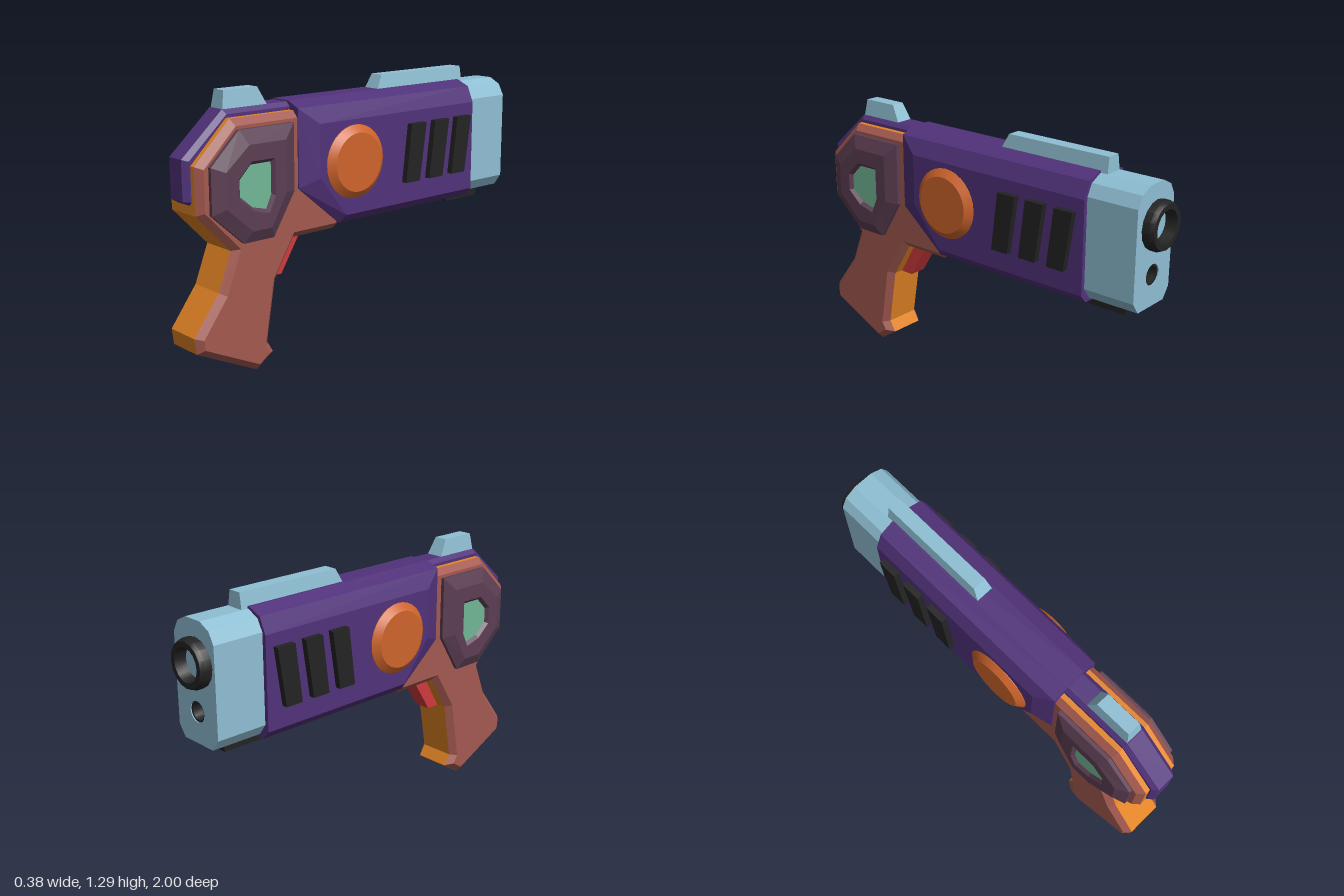
import * as THREE from 'three';
import { toCreasedNormals } from 'three/addons/utils/BufferGeometryUtils.js';

const mat = (name, color) => {
  const m = new THREE.MeshStandardMaterial({ color });
  m.name = name;
  return m;
};

// Joins outlines of [z, y] points placed at rising x; flat faces, fan caps.
function loft(layers, caps = true) {
  const area = layers[0][1].reduce((s, p, i, a) => {
    const q = a[(i + 1) % a.length];
    return s + p[0] * q[1] - q[0] * p[1];
  }, 0);
  const rings = layers.map(([x, pts]) => {
    const r = pts.map(([z, y]) => [x, y, z]);
    return area > 0 ? r.reverse() : r;
  });
  const v = [];
  const tri = (a, b, c) => v.push(...a, ...b, ...c);
  const n = rings[0].length;
  for (let k = 0; k < rings.length - 1; k++) {
    for (let i = 0; i < n; i++) {
      const j = (i + 1) % n, a = rings[k], b = rings[k + 1];
      tri(a[i], a[j], b[j]);
      tri(a[i], b[j], b[i]);
    }
  }
  if (caps) {
    const s = rings[0], e = rings[rings.length - 1];
    for (let i = 1; i < n - 1; i++) {
      tri(e[0], e[i], e[i + 1]);
      tri(s[0], s[i + 1], s[i]);
    }
  }
  const g = new THREE.BufferGeometry();
  g.setAttribute('position', new THREE.Float32BufferAttribute(v, 3));
  g.computeVertexNormals();
  return g;
}

// Mirrors layers listed from the middle outwards.
const symLoft = (half, caps) =>
  loft([...half.map(([x, p]) => [-x, p]).reverse(), ...half], caps);

// Keeps the triangles of an unindexed geometry that pass a test on their normal.
function pick(geo, test) {
  const p = geo.attributes.position, nor = geo.attributes.normal, v = [];
  for (let i = 0; i < p.count; i += 3) {
    if (!test(nor.getX(i))) continue;
    for (let k = i; k < i + 3; k++) v.push(p.getX(k), p.getY(k), p.getZ(k));
  }
  const g = new THREE.BufferGeometry();
  g.setAttribute('position', new THREE.Float32BufferAttribute(v, 3));
  g.computeVertexNormals();
  return g;
}

const lathe = (pts, n) =>
  toCreasedNormals(new THREE.LatheGeometry(pts.map(([r, y]) => new THREE.Vector2(r, y)), n), 0.5);

export function createModel() {
  const model = new THREE.Group();
  const purple = mat('purple shell', 0x51327a);
  const orange = mat('orange frame edge', 0xe28424);
  const brown = mat('red brown frame', 0xa3594f);
  const mauve = mat('dark mauve', 0x5c3e53);
  const teal = mat('green inset', 0x72b796);
  const blue = mat('light blue', 0x8fbfd4);
  const black = mat('black', 0x232323);
  const red = mat('trigger red', 0xd03a3c);
  const copper = mat('burnt orange', 0xcf652c);
  const add = (name, geo, material) => {
    const m = new THREE.Mesh(geo, material);
    m.name = name;
    model.add(m);
    return m;
  };

  // Frame and grip: bevelled sides with an orange edge band
  const outline = [
    [0.968, 0.99], [0.78, 1.175], [0.42, 1.175], [0.15, 0.9], [0.15, 0.625], [0.2, 0.59],
    [0.44, 0.59], [0.55, 0.41], [0.6, 0.12], [0.567, 0.065], [0.663, 0], [0.985, 0.155],
    [0.995, 0.23], [0.86, 0.41], [0.79, 0.59], [0.968, 0.775],
  ];
  const frame = new THREE.ExtrudeGeometry(
    new THREE.Shape(outline.map(([z, y]) => new THREE.Vector2(z, y))),
    { depth: 0.18, bevelThickness: 0.03, bevelSize: 0.03, bevelOffset: -0.03, bevelSegments: 1 });
  frame.translate(0, 0, -0.09).rotateY(-Math.PI / 2);
  add('frameSides', pick(frame, (nx) => Math.abs(nx) > 0.05), brown);
  add('frameEdge', pick(frame, (nx) => Math.abs(nx) <= 0.05), orange);

  // Main shell with chamfered flanks
  add('mainShell', symLoft([
    [0.055, [[0.43, 1.215], [-0.687, 1.215], [-0.687, 0.62], [0.19, 0.62], [0.43, 0.82]]],
    [0.125, [[0.43, 1.187], [-0.687, 1.187], [-0.687, 0.62], [0.19, 0.62], [0.43, 0.82]]],
    [0.16, [[0.33, 1.11], [-0.687, 1.11], [-0.687, 0.66], [0.17, 0.66], [0.33, 0.86]]],
  ]), purple);

  // Centre spine at the rear
  add('rearSpine', symLoft([
    [0.045, [[1, 1.018], [0.785, 1.21], [0.4, 1.21], [0.4, 0.815], [0.968, 0.815], [1, 0.835]]],
    [0.065, [[0.975, 1.01], [0.775, 1.19], [0.4, 1.19], [0.4, 0.815], [0.95, 0.815], [0.975, 0.835]]],
  ]), purple);

  // Side plates with a recessed window
  const inset = [[0.775, 0.915], [0.715, 0.975], [0.605, 0.975], [0.605, 0.83],
    [0.635, 0.765], [0.71, 0.785], [0.775, 0.84]];
  const rim = inset.map(([z, y]) => [0.685 + (z - 0.685) * 1.16, 0.875 + (y - 0.875) * 1.16]);
  const plateInner = [[0.855, 0.96], [0.73, 1.065], [0.53, 1.065], [0.53, 0.83],
    [0.615, 0.68], [0.72, 0.68], [0.855, 0.8]];
  const plateOuter = [[0.915, 0.985], [0.765, 1.13], [0.465, 1.13], [0.465, 0.82],
    [0.585, 0.625], [0.75, 0.625], [0.915, 0.775]];
  add('sidePlates', symLoft(
    [[0.138, plateOuter], [0.165, plateInner], [0.165, rim], [0.148, inset]], false), mauve);
  add('sideInsets', symLoft([[0.148, inset]]), teal);

  // Round side caps
  add('sideDiscs', lathe([[0, -0.19], [0.14, -0.19], [0.175, -0.163], [0.175, 0.163],
    [0.14, 0.19], [0, 0.19]], 32).rotateZ(Math.PI / 2).translate(0, 0.91, 0.118), copper);

  // Slanted ribs, passing through to both sides
  for (let i = 0; i < 3; i++) {
    const s = -0.16 * i;
    add('sideRib', symLoft([[0.19, [[-0.225 + s, 1.05], [-0.325 + s, 1.05],
      [-0.283 + s, 0.765], [-0.19 + s, 0.765]]]]), black);
  }

  // Nozzle block with a lower bore
  const half = [[0.1, 0.635], [0.14, 0.69], [0.14, 1.12], [0.11, 1.175], [0.05, 1.205]];
  const block = new THREE.Shape(
    [...half, ...half.map(([x, y]) => [-x, y]).reverse()].map(([x, y]) => new THREE.Vector2(x, y)));
  block.holes.push(new THREE.Path().absarc(0, 0.785, 0.05, 0, Math.PI * 2, true));
  add('nozzleBlock', new THREE.ExtrudeGeometry(block,
    { depth: 0.265, bevelEnabled: false, curveSegments: 8 }).translate(0, 0, -0.945), blue);
  const bore = lathe([[0.06, 0], [0.051, 0.085], [0.04, 0.085], [0.036, 0], [0, 0]], 16);
  add('lowerBore', bore.rotateX(-Math.PI / 2).translate(0, 0.785, -0.855), black);

  // Hollow muzzle
  const muzzle = lathe([[0.115, 0], [0.115, 0.08], [0.105, 0.1], [0.08, 0.1], [0.068, 0.01], [0, 0.01]], 16);
  const muzzleMesh = add('muzzle', muzzle.rotateX(-Math.PI / 2).translate(-0.01, 1.015, -0.9), black);
  muzzleMesh.material.side = THREE.DoubleSide;

  // Sights: tapered to the top
  const sight = (name, zb0, zb1, zt0, zt1, yb, yt) => add(name, symLoft([
    [0.034, [[zb0, yb], [zt0, yt], [zt1, yt], [zb1, yb]]],
    [0.046, [[zb0, yb], [zb0, yb + 0.002], [zb1, yb + 0.002], [zb1, yb]]],
  ]), blue);
  sight('rearSight', 0.782, 0.535, 0.768, 0.585, 1.195, 1.29);
  sight('topRail', -0.125, -0.722, -0.165, -0.72, 1.2, 1.28);

  // Trigger and lower rail
  add('trigger', symLoft([[0.045, [[0.43, 0.61], [0.35, 0.61], [0.475, 0.41], [0.545, 0.41]]]]), red);
  add('lowerRail', symLoft([[0.05, [[-0.59, 0.64], [-0.86, 0.64], [-0.845, 0.58], [-0.625, 0.58]]]]), black);

  return model;
}
